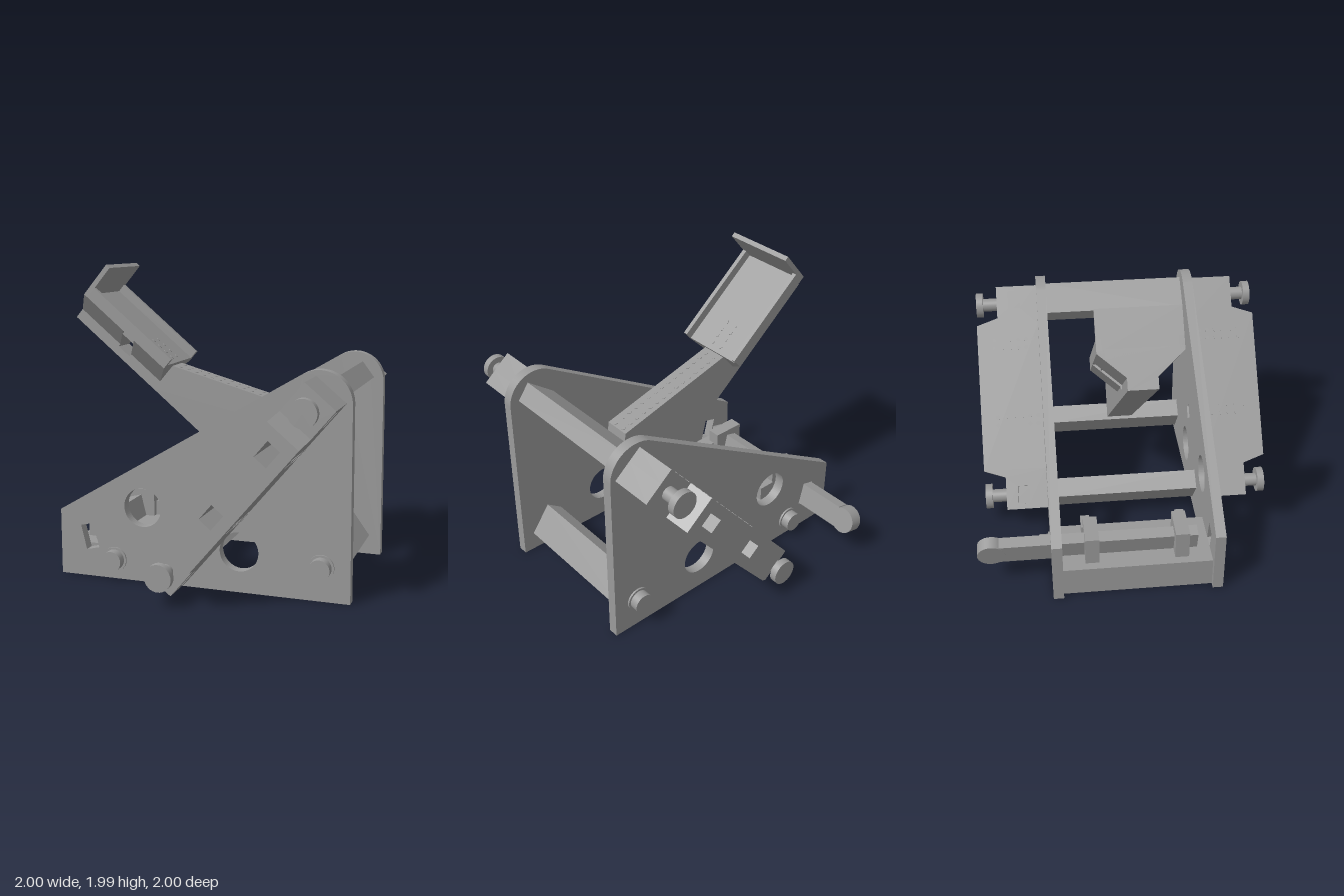
import * as THREE from 'three';

const grey = new THREE.MeshStandardMaterial({ color: 0x999999 });
grey.name = 'plainGrey';

const DEG = Math.PI / 180;
const TILT = 50 * DEG; // slope of the side housings
const HOUSING = [0.3625, 0.7025];

function add(parent, name, geometry, x = 0, y = 0, z = 0) {
  const mesh = new THREE.Mesh(geometry, grey);
  mesh.name = name;
  mesh.position.set(x, y, z);
  parent.add(mesh);
  return mesh;
}

function box(parent, name, x0, x1, y0, y1, z0, z1) {
  return add(parent, name, new THREE.BoxGeometry(x1 - x0, y1 - y0, z1 - z0),
    (x0 + x1) / 2, (y0 + y1) / 2, (z0 + z1) / 2);
}

function frame(parent, name, x, y, angle) {
  const g = new THREE.Group();
  g.name = name;
  g.position.set(x, y, 0);
  g.rotation.z = angle;
  parent.add(g);
  return g;
}

const points = (list) => list.map(([x, y]) => new THREE.Vector2(x, y));
const polygon = (list) => new THREE.Shape(points(list));
const extrude = (shape, depth) =>
  new THREE.ExtrudeGeometry(shape, { depth, bevelEnabled: false, curveSegments: 32 });

const rect = (x0, x1, y0, y1) => [[x0, y0], [x1, y0], [x1, y1], [x0, y1]];

// Rectangle corners given in a turned frame
function turned(corners, cx, cy, angle) {
  const c = Math.cos(angle), s = Math.sin(angle);
  return corners.map(([x, y]) => [cx + x * c - y * s, cy + x * s + y * c]);
}

// Round pin along z from za to zb
function pin(parent, name, x, y, za, zb, r) {
  const g = new THREE.CylinderGeometry(r, r, Math.abs(zb - za), 32);
  g.rotateX(Math.PI / 2);
  return add(parent, name, g, x, y, (za + zb) / 2);
}

// Small dimple disc lying on a surface facing local y
function dot(parent, x, y, z) {
  add(parent, 'dimple', new THREE.CylinderGeometry(0.014, 0.014, 0.006, 12), x, y, z);
}

function sidePlate(parent, s) {
  const shape = new THREE.Shape();
  shape.moveTo(-0.915, 0);
  shape.lineTo(1, 0);
  shape.lineTo(0.99, 1.21);
  shape.absarc(0.79, 1.21, 0.2, 0, 120.7 * DEG, false);
  shape.lineTo(-0.915, 0.43);
  shape.closePath();
  for (const [x, y] of [[-0.34, 0.485], [0.3, 0.26]]) {
    shape.holes.push(new THREE.Path().absarc(x, y, 0.125, 0, Math.PI * 2, true));
  }
  // Slot for the trigger bar and two square openings behind the housing
  const cuts = [
    turned(rect(-0.045, 0.045, -0.082, 0.082), -0.71, 0.265, 0.24),
    turned(rect(0.335, 0.425, -0.045, 0.045), ...HOUSING, TILT),
    turned(rect(-0.21, -0.12, -0.045, 0.045), ...HOUSING, TILT),
  ];
  for (const c of cuts) shape.holes.push(new THREE.Path(points(c)));
  add(parent, 'sidePlate', extrude(shape, 0.0675), 0, 0, s > 0 ? 0.4825 : -0.55);
  // Bolt heads on the outside
  for (const [x, y] of [[-0.535, 0.13], [0.82, 0.215]]) {
    pin(parent, 'boltWasher', x, y, s * 0.55, s * 0.562, 0.08);
    pin(parent, 'boltHead', x, y, s * 0.56, s * 0.62, 0.066);
  }
}

function housing(parent, s) {
  const g = frame(parent, 'sideHousing', ...HOUSING, TILT);
  // Raised middle with two square openings
  const mid = polygon(rect(-0.505, 0.505, -0.12, 0.12));
  for (const [a, b] of [[0.3, 0.425], [-0.21, -0.09]]) {
    mid.holes.push(new THREE.Path(points(rect(a, b, -0.047, 0.047))));
  }
  add(g, 'housingMiddle', extrude(mid, 0.425), 0, 0, s > 0 ? 0.55 : -0.975);
  // Stepped ends, each a solid layer and a layer with a pocket
  for (const e of [-1, 1]) {
    const profile = [[0.505, 0.55], [0.777, 0.55], [0.777, 0.83], [0.555, 0.83], [0.505, 0.975]]
      .map(([u, z]) => [e * u, s * z]);
    const layer = (pocket, y0, y1) => {
      const shape = polygon(profile);
      if (pocket) {
        const hole = rect(0.62, 0.74, 0.67, 0.75).map(([u, z]) => [e * u, s * z]);
        shape.holes.push(new THREE.Path(points(hole)));
      }
      const geo = extrude(shape, y1 - y0);
      geo.rotateX(Math.PI / 2);
      add(g, 'housingEnd', geo, 0, y1, 0);
    };
    if (s > 0) { layer(true, -0.12, -0.02); layer(false, -0.02, 0.12); }
    else { layer(false, -0.12, 0.02); layer(true, 0.02, 0.12); }
  }
  // Rows of dimples on both long sides
  for (const u of [-0.195, -0.14, 0.342, 0.397])
    for (let i = 0; i < 6; i++)
      for (const y of [-0.12, 0.12]) dot(g, u, y, s * (0.585 + i * 0.055));
  // Spools at both ends
  for (const [x, y] of [[0.795, 1.22], [-0.07, 0.185]]) {
    pin(parent, 'spoolShaft', x, y, s * 0.82, s * 0.935, 0.045);
    pin(parent, 'spoolCap', x, y, s * 0.928, s * 0.975, 0.085);
  }
}

function throwingArm(parent) {
  const shape = polygon([
    [-0.445, 1.174], [0.364, 0.495], [0.675, 0.93], [0.675, 1.03], [0.66, 1.045],
    [0.65, 0.98], [0.62, 0.945], [0.57, 0.95], [0.53, 1.0], [0.52, 1.1], [-0.31, 1.335],
  ]);
  add(parent, 'throwingArm', extrude(shape, 0.175), 0, 0, -0.0875);
  const top = frame(parent, 'armDimples', -0.31, 1.335, Math.atan2(-0.235, 0.83));
  for (let i = 0; i < 15; i++)
    for (const z of [-0.04, 0.04]) dot(top, 0.04 + i * 0.057, 0, z);
}

function cup(parent) {
  const g = frame(parent, 'cup', 0, 0, -40 * DEG);
  const d0 = -1.82, d1 = -1.095;
  // Flared underside in two pieces, leaving a cross opening
  const flare = polygon([[-0.0875, 0.613], [0.0875, 0.613], [0.0875, 0.684],
    [0.2475, 0.826], [-0.2475, 0.826], [-0.0875, 0.684]]);
  for (const [a, b] of [[d0, -1.465], [-1.365, d1]]) {
    const geo = extrude(flare, b - a);
    geo.rotateY(Math.PI / 2);
    add(g, 'cupSupport', geo, a, 0, 0);
  }
  box(g, 'cupKeel', -1.465, -1.365, 0.613, 0.665, -0.0875, 0.0875);
  box(g, 'cupFloor', d0, d1, 0.79, 0.85, -0.2, 0.2);
  box(g, 'cupFloorEdge', d0, d1, 0.826, 0.85, -0.2475, 0.2475);
  for (const s of [-1, 1])
    box(g, 'cupSideWall', d0, d1, 0.826, 0.905, s * 0.2325 - 0.015, s * 0.2325 + 0.015);
  box(g, 'cupEndWall', d0, d0 + 0.032, 0.826, 1.077, -0.2475, 0.2475);
  for (let i = 0; i < 4; i++)
    for (const z of [-0.04, 0.04]) dot(g, -1.31 + i * 0.055, 0.85, z);
}

function trigger(parent) {
  box(parent, 'floorBlock', -0.875, -0.45, 0, 0.2, -0.4825, 0.4825);
  for (const s of [-1, 1]) {
    box(parent, 'triggerBracket', -0.82, -0.59, 0.2, 0.39, s * 0.29 - 0.045, s * 0.29 + 0.045);
    box(parent, 'bracketFoot', -0.59, -0.47, 0.2, 0.3, s * 0.315 - 0.03, s * 0.315 + 0.03);
  }
  const g = frame(parent, 'trigger', -0.71, 0.265, 0.24);
  box(g, 'triggerBar', -0.04, 0.04, -0.077, 0.077, -0.88, 0.4);
  const disc = new THREE.CylinderGeometry(0.09, 0.09, 0.085, 32);
  disc.rotateZ(Math.PI / 2);
  add(g, 'triggerHandle', disc, 0, 0, -0.9325);
}

export function createModel() {
  const model = new THREE.Group();
  model.name = 'catapult';
  const body = new THREE.Group();
  body.name = 'body';
  body.position.z = 0.0225;
  model.add(body);

  for (const s of [-1, 1]) {
    sidePlate(body, s);
    housing(body, s);
  }
  // Cross beams between the plates
  for (const [x, y, a] of [[0.795, 1.223, 37], [-0.0725, 0.187, -54], [0.8, 0.187, -54]]) {
    const g = frame(body, 'crossBeam', x, y, a * DEG);
    box(g, 'beam', -0.114, 0.114, -0.0655, 0.0655, -0.4825, 0.4825);
  }
  throwingArm(body);
  cup(body);
  trigger(body);
  return model;
}
